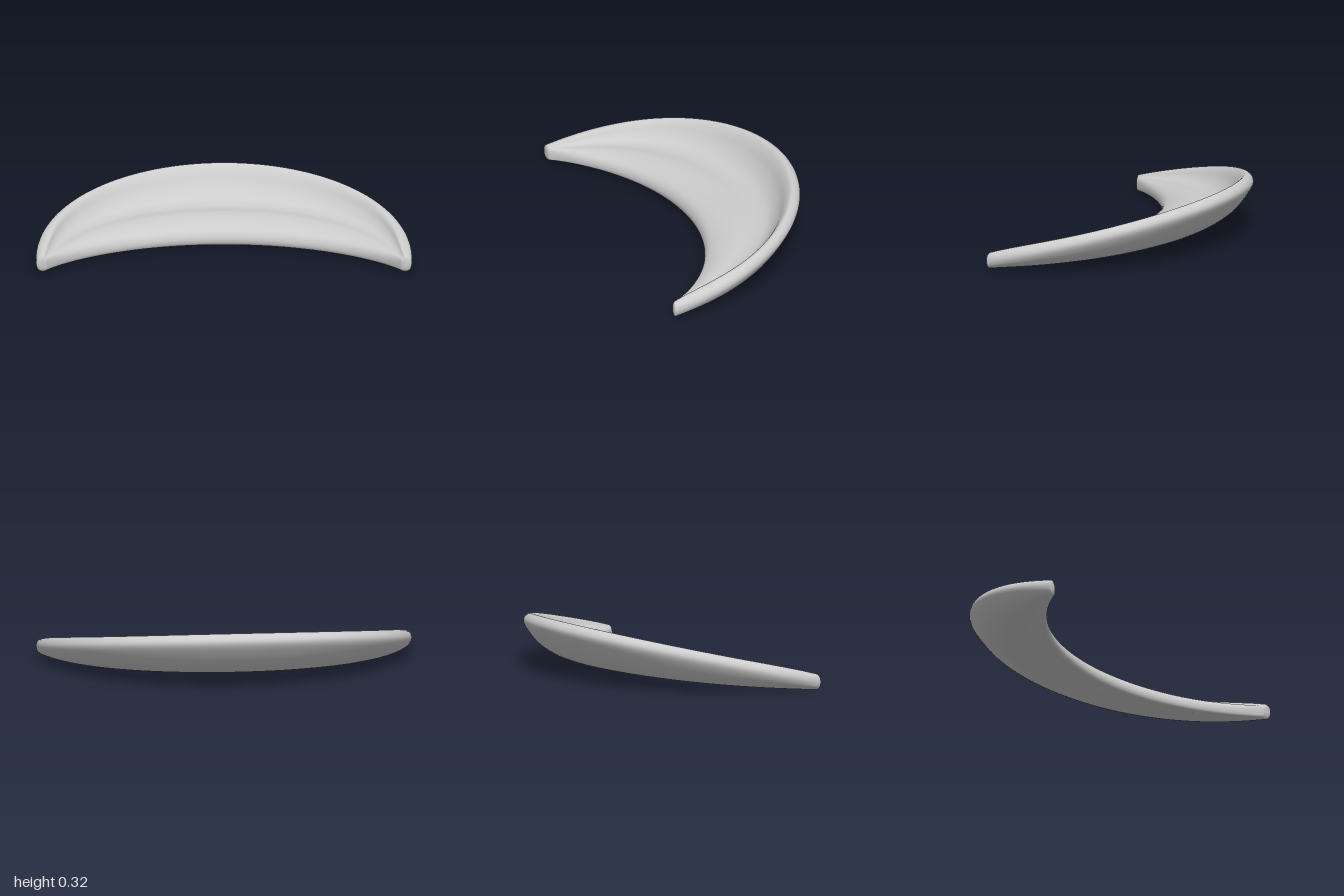
import * as THREE from 'three';

// Cross-section pairs: [z, y] at the middle of the crescent, [u, y] at a tip
// (u runs from the outer rim, 0, to the front lip, 1).
const SECTION = [
  // underside, front to back
  [0.0, 0.013, 0.85, 0.005], [-0.1, 0.047, 0.75, 0.002], [-0.2, 0.06, 0.65, 0.001],
  [-0.3, 0.071, 0.5, 0.001], [-0.4, 0.13, 0.3, 0.005], [-0.47, 0.21, 0.1, 0.018],
  // rounded rim
  [-0.508, 0.28, 0, 0.045], [-0.495, 0.309, 0.1, 0.072], [-0.46, 0.322, 0.4, 0.085],
  // inner wall and floor, back to front
  [-0.43, 0.295, 0.65, 0.085], [-0.385, 0.22, 0.72, 0.08], [-0.33, 0.165, 0.78, 0.078],
  [-0.25, 0.142, 0.82, 0.075], [-0.14, 0.145, 0.88, 0.072], [-0.04, 0.125, 0.95, 0.065],
  // front lip
  [0.025, 0.09, 1, 0.05], [0.045, 0.045, 1, 0.025], [0.035, 0.015, 0.95, 0.01],
];
const BACK = -0.51, DEPTH = 0.555;
const END = THREE.MathUtils.degToRad(93); // sweep angle at the tips
const LIP_R = 1.207, LIP_END = Math.asin(0.935 / LIP_R);
const AROUND = 80, ALONG = 96;

// One closed ring of the shell at t in -1..1
function ring(t) {
  const a = t * END, b = t * LIP_END;
  const w = (Math.cos(a) - Math.cos(END)) / (1 - Math.cos(END));
  const outer = new THREE.Vector3(Math.sin(a), 0, 0.45 - 0.96 * Math.cos(a));
  const inner = new THREE.Vector3(LIP_R * Math.sin(b), 0, 0.045 + LIP_R * (1 - Math.cos(b)));
  const pts = SECTION.map(([z, yMid, uTip, yTip]) => {
    const uMid = (z - BACK) / DEPTH;
    const u = uMid + (uTip - uMid) * Math.pow(1 - w, 3);
    const p = outer.clone().lerp(inner, u);
    p.y = yTip + (yMid - yTip) * w;
    return p;
  });
  const curve = new THREE.CatmullRomCurve3(pts, true);
  return Array.from({ length: AROUND }, (_, j) => curve.getPoint(j / AROUND));
}

// Rings shrinking to a point, closing a tip
function capRings(base) {
  const c = base.reduce((s, p) => s.add(p), new THREE.Vector3()).divideScalar(base.length);
  return [[0.88, 0.005], [0.6, 0.009], [0.3, 0.01], [0, 0.01]].map(([s, push]) =>
    base.map((p) => {
      const q = c.clone().lerp(p, s);
      q.z += push;
      return q;
    }));
}

function shellGeometry() {
  const body = Array.from({ length: ALONG + 1 }, (_, i) => ring((i / ALONG) * 2 - 1));
  const rings = [...capRings(body[0]).reverse(), ...body, ...capRings(body[ALONG])];
  const index = [];
  for (let i = 0; i < rings.length - 1; i++) {
    for (let j = 0; j < AROUND; j++) {
      const k = (j + 1) % AROUND;
      const a = i * AROUND + j, b = i * AROUND + k;
      index.push(a, b, a + AROUND, b, b + AROUND, a + AROUND);
    }
  }
  const g = new THREE.BufferGeometry().setFromPoints(rings.flat());
  g.setIndex(index);
  g.computeVertexNormals();
  return g;
}

export function createModel() {
  const group = new THREE.Group();
  group.name = 'crescentShell';
  const grey = new THREE.MeshStandardMaterial({ color: 0xcccccc });
  grey.name = 'light grey';
  const shell = new THREE.Mesh(shellGeometry(), grey);
  shell.name = 'curvedShell';
  group.add(shell);
  return group;
}
